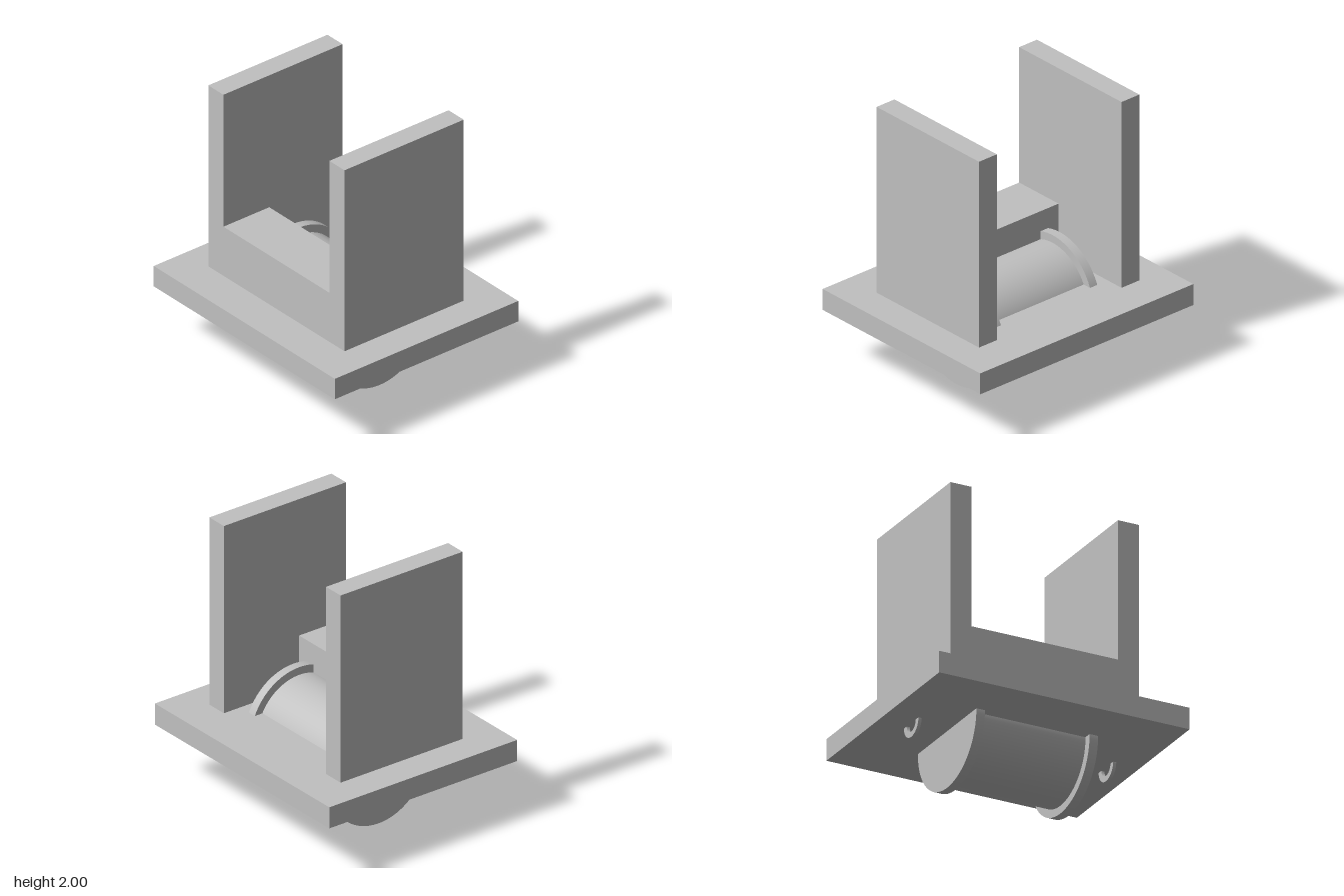
import * as THREE from 'three';

export function createModel() {
  const group = new THREE.Group();
  const grey = new THREE.MeshStandardMaterial({ color: 0xc0c0c0 });
  grey.name = 'light grey';

  function add(name, geometry) {
    const mesh = new THREE.Mesh(geometry, grey);
    mesh.name = name;
    group.add(mesh);
    return mesh;
  }

  // Box given by its extents on each axis
  function box(name, x0, x1, y0, y1, z0, z1) {
    add(name, new THREE.BoxGeometry(x1 - x0, y1 - y0, z1 - z0))
      .position.set((x0 + x1) / 2, (y0 + y1) / 2, (z0 + z1) / 2);
  }

  // Cylinder lying along z, at axle height
  function roller(name, radius, z0, z1) {
    const geometry = new THREE.CylinderGeometry(radius, radius, z1 - z0, 96);
    add(name, geometry.rotateX(Math.PI / 2)).position.set(0, 0.415, (z0 + z1) / 2);
  }

  // Base plate, upright walls and the low wall joining them
  box('basePlate', -0.8, 0.8, 0.42, 0.58, -0.957, 0.957);
  box('frontWall', -0.52, 0.52, 0.58, 2, 0.56, 0.72);
  box('backWall', -0.52, 0.52, 0.58, 2, -0.72, -0.56);
  box('sideBlock', -0.52, -0.12, 0.58, 0.965, -0.56, 0.56);

  // Drum with a flange at each end
  roller('drum', 0.357, -0.4, 0.4);
  roller('frontFlange', 0.415, 0.4, 0.465);
  roller('backFlange', 0.415, -0.465, -0.4);

  // Small stop beside the back flange
  box('stop', -0.05, 0.05, 0.58, 0.74, -0.517, -0.467);

  // Flat half-ring loops hanging under the plate
  const ring = new THREE.Shape();
  ring.absarc(0, 0, 0.103, Math.PI, Math.PI * 2, false);
  ring.absarc(0, 0, 0.064, Math.PI * 2, Math.PI, true);
  const loop = new THREE.ExtrudeGeometry(ring, { depth: 0.024, bevelEnabled: false, curveSegments: 32 });
  add('frontLoop', loop).position.set(0, 0.42, 0.748);
  add('backLoop', loop).position.set(0, 0.42, -0.74);

  return group;
}
